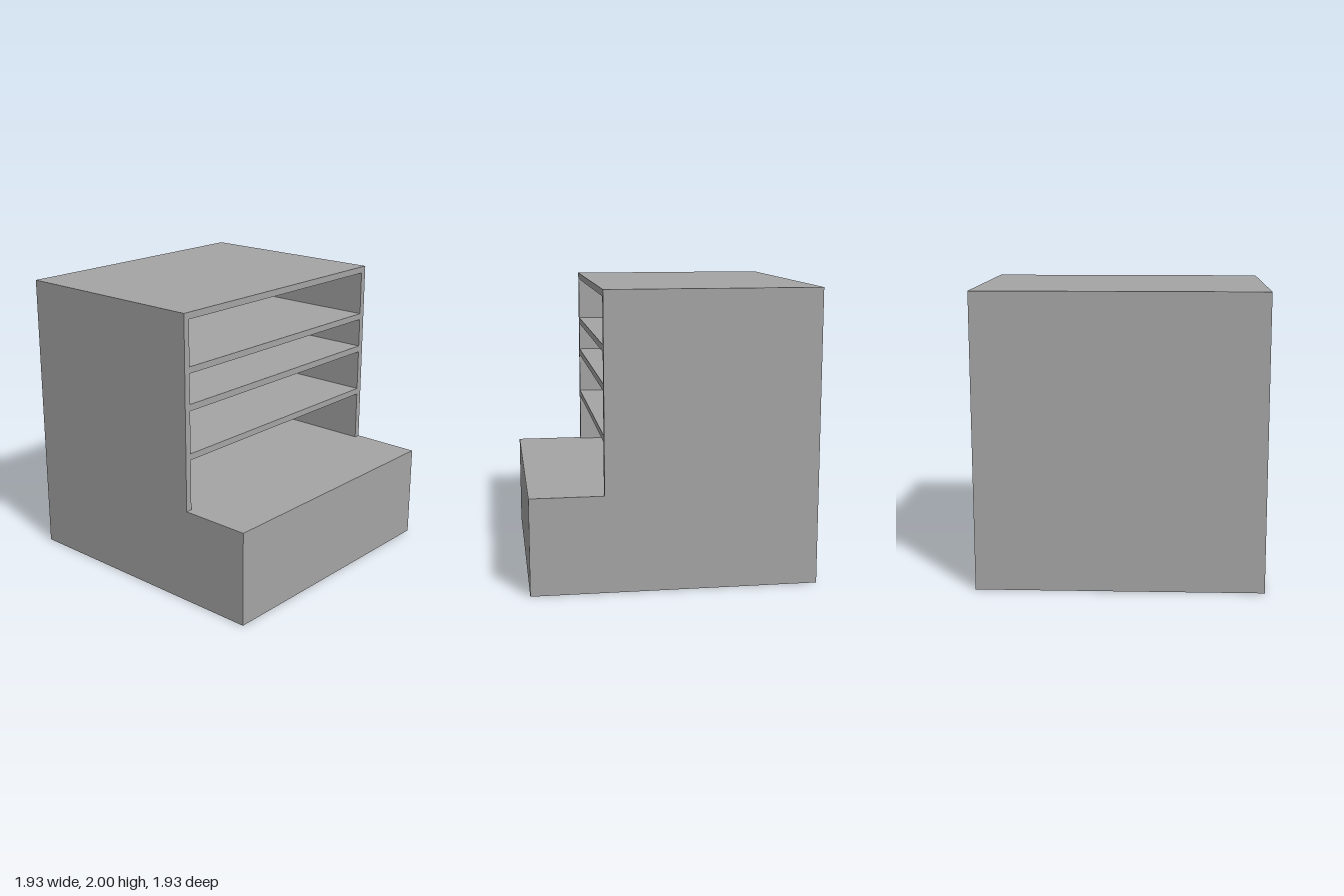
import * as THREE from 'three';

const HALF = 0.967;      // half width and half depth
const HEIGHT = 2;
const BASE_TOP = 0.66;   // height of the step
const FACE_X = 0.473;    // open face of the shelving
const WALL = 0.044;
const INNER = HALF - WALL;

export function createModel() {
  const group = new THREE.Group();
  const material = new THREE.MeshStandardMaterial({ color: 0xa5a5a5, flatShading: true });

  const add = (name, geometry, x, y, z) => {
    const mesh = new THREE.Mesh(geometry, material);
    mesh.name = name;
    mesh.position.set(x, y, z);
    group.add(mesh);
    return mesh;
  };

  // Solid base with the projecting step
  add('base', new THREE.BoxGeometry(2 * HALF, BASE_TOP, 2 * HALF), 0, BASE_TOP / 2, 0);

  // Shelving frame: outline whose bottom bay is open down to the base
  const frame = new THREE.Shape([
    [-HALF, BASE_TOP], [-INNER, BASE_TOP], [-INNER, 1.012], [INNER, 1.012],
    [INNER, BASE_TOP], [HALF, BASE_TOP], [HALF, HEIGHT], [-HALF, HEIGHT],
  ].map(([x, y]) => new THREE.Vector2(x, y)));

  // Upper bays, as bottom and top heights
  for (const [low, high] of [[1.056, 1.348], [1.394, 1.6], [1.645, 1.954]]) {
    frame.holes.push(new THREE.Path([
      [-INNER, low], [-INNER, high], [INNER, high], [INNER, low],
    ].map(([x, y]) => new THREE.Vector2(x, y))));
  }

  const backX = -HALF + WALL;
  const shelving = new THREE.ExtrudeGeometry(frame, { depth: FACE_X - backX, bevelEnabled: false });
  add('shelving', shelving, backX, 0, 0).rotation.y = Math.PI / 2;

  // Panel closing the bays
  const panelHeight = HEIGHT - BASE_TOP;
  add('backPanel', new THREE.BoxGeometry(WALL, panelHeight, 2 * HALF),
    -HALF + WALL / 2, BASE_TOP + panelHeight / 2, 0);

  return group;
}
